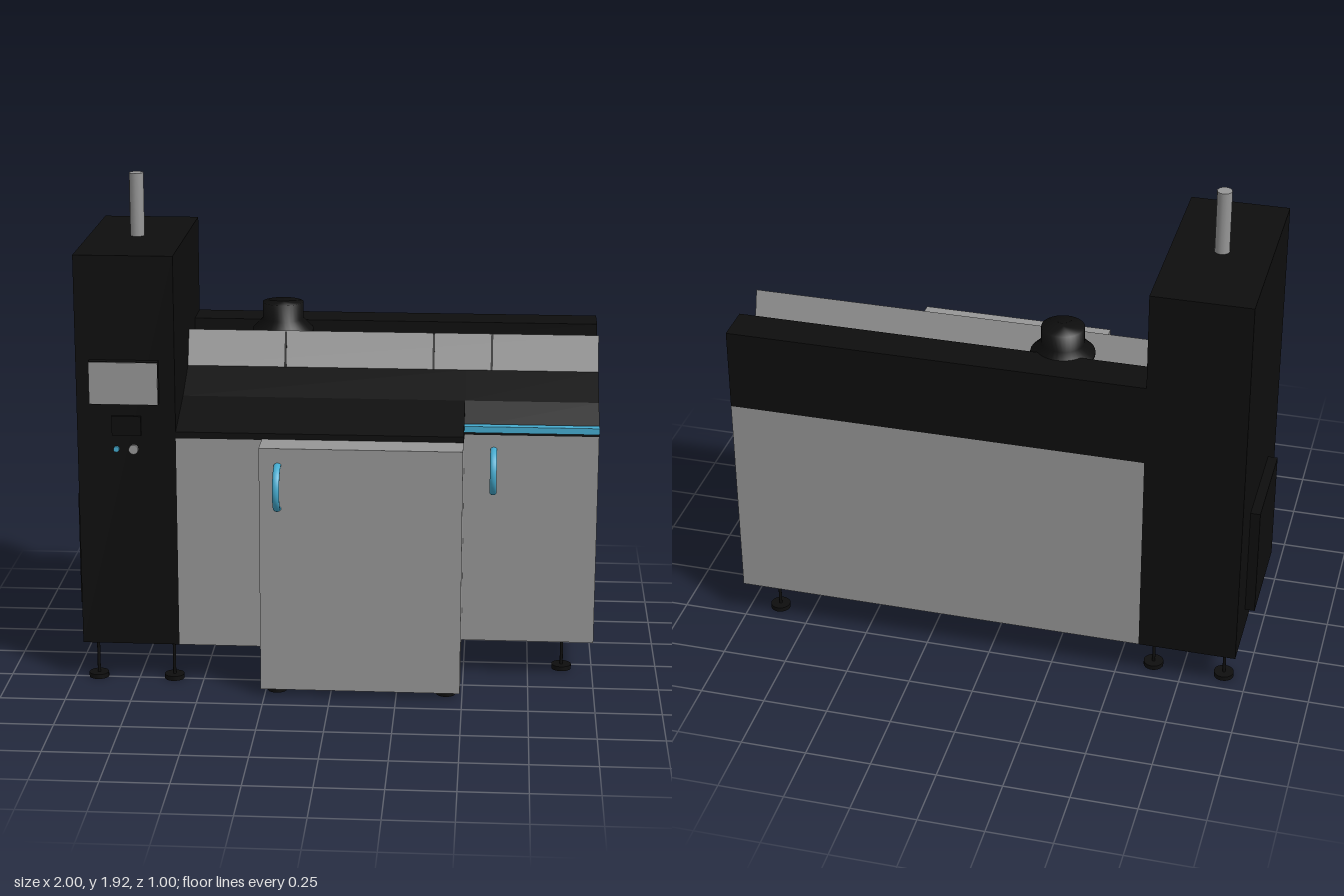
import * as THREE from 'three';

export function createModel() {
  const model = new THREE.Group();
  const mat = (name, color) => {
    const m = new THREE.MeshStandardMaterial({ color });
    m.name = name;
    return m;
  };
  const grey = mat('panel grey', 0x979797);
  const black = mat('housing black', 0x0e0e0e);
  const blue = mat('accent blue', 0x45abcf);

  const add = (name, geometry, material) => {
    const mesh = new THREE.Mesh(geometry, material);
    mesh.name = name;
    model.add(mesh);
    return mesh;
  };
  // box given by its limits on each axis
  const box = (name, material, [x0, x1], [y0, y1], [z0, z1]) =>
    add(name, new THREE.BoxGeometry(x1 - x0, y1 - y0, z1 - z0), material)
      .position.set((x0 + x1) / 2, (y0 + y1) / 2, (z0 + z1) / 2);
  // (z, y) profile swept along x
  const prism = (name, material, points, x0, x1) => {
    const shape = new THREE.Shape(points.map(([z, y]) => new THREE.Vector2(z, y)));
    const g = new THREE.ExtrudeGeometry(shape, { depth: x1 - x0, bevelEnabled: false });
    add(name, g.rotateY(-Math.PI / 2).translate(x1, 0, 0), material);
  };
  const cylinder = (name, material, r, h, x, y, z, sides = 24) => {
    const mesh = add(name, new THREE.CylinderGeometry(r, r, h, sides), material);
    mesh.position.set(x, y, z);
    return mesh;
  };

  // control tower
  box('controlTower', black, [-0.963, -0.59], [0.15, 1.672], [-0.5, 0.28]);
  box('towerSidePanel', black, [-1, -0.963], [0.245, 0.69], [-0.31, 0.09]);
  box('screenHousing', black, [-0.91, -0.65], [1.11, 1.275], [0.28, 0.31]);
  box('screen', grey, [-0.909, -0.651], [1.112, 1.273], [0.31, 0.315]);
  box('buttonPanel', black, [-0.83, -0.72], [0.985, 1.06], [0.28, 0.293]);
  cylinder('exhaustPipe', grey, 0.028, 0.245, -0.777, 1.793, -0.112, 12);
  cylinder('blueButton', blue, 0.011, 0.012, -0.815, 0.93, 0.285).rotation.x = Math.PI / 2;
  cylinder('greyKnob', grey, 0.018, 0.012, -0.75, 0.93, 0.285).rotation.x = Math.PI / 2;

  // cabinet, shallower on the right end, with a projecting door box
  box('cabinetMain', grey, [-0.59, 0.492], [0.15, 0.975], [-0.5, 0.28]);
  box('cabinetEnd', grey, [0.492, 1], [0.15, 0.975], [-0.5, 0.155]);
  box('doorBox', grey, [-0.265, 0.492], [0.025, 0.978], [0.28, 0.405]);

  // sloping work surface, rear housing and ridge
  const deck = (front) => [[-0.11, 0.975], [front, 0.975], [front, 1.0],
    [0.05, 1.08], [-0.11, 1.16]];
  prism('deckMain', black, deck(0.28), -0.59, 0.492);
  prism('deckEnd', black, deck(0.155), 0.492, 1);
  prism('rearHousing', black, [[-0.5, 0.975], [-0.25, 0.975], [-0.206, 1.13],
    [-0.35, 1.13], [-0.35, 1.293], [-0.5, 1.293]], -0.59, 1);
  prism('ridge', grey, [[-0.25, 0.975], [-0.11, 0.975], [-0.11, 1.16],
    [-0.16, 1.293]], -0.59, 1);
  for (const x of [-0.21, 0.365, 0.59]) {
    prism('ridgeSeam', black, [[-0.11, 1.16], [-0.106, 1.16], [-0.157, 1.29],
      [-0.16, 1.29]], x - 0.004, x + 0.004);
  }
  box('edgeBar', blue, [0.492, 1], [0.992, 1.016], [0.15, 0.187]);

  // flared vent behind the ridge
  const profile = [[0.085, 1.13], [0.085, 1.265], [0.12, 1.265], [0.12, 1.275],
    [0.08, 1.315], [0.08, 1.38], [0, 1.38]].map(([r, y]) => new THREE.Vector2(r, y));
  const vent = new THREE.LatheGeometry(profile, 32);
  add('vent', vent, black).position.set(-0.233, 0, -0.288);

  // half-ring door handles
  for (const [x, y, z] of [[-0.195, 0.83, 0.405], [0.604, 0.835, 0.155]]) {
    const g = new THREE.TorusGeometry(0.084, 0.009, 10, 24, Math.PI);
    g.scale(1, 1, 1.5).rotateZ(-Math.PI / 2).rotateY(-Math.PI / 2);
    add('handle', g, blue).position.set(x, y, z);
  }

  // adjustable feet
  const feet = [[-0.91, 0.245], [-0.615, 0.245], [-0.91, -0.415], [-0.635, -0.415],
    [0.882, 0.04], [0.882, -0.415]];
  for (const [x, z] of feet) {
    cylinder('footPad', black, 0.038, 0.018, x, 0.009, z);
    cylinder('footStem', black, 0.006, 0.14, x, 0.085, z, 12);
  }
  for (const x of [-0.207, 0.438]) cylinder('doorFoot', black, 0.037, 0.026, x, 0.013, 0.34);

  return model;
}
